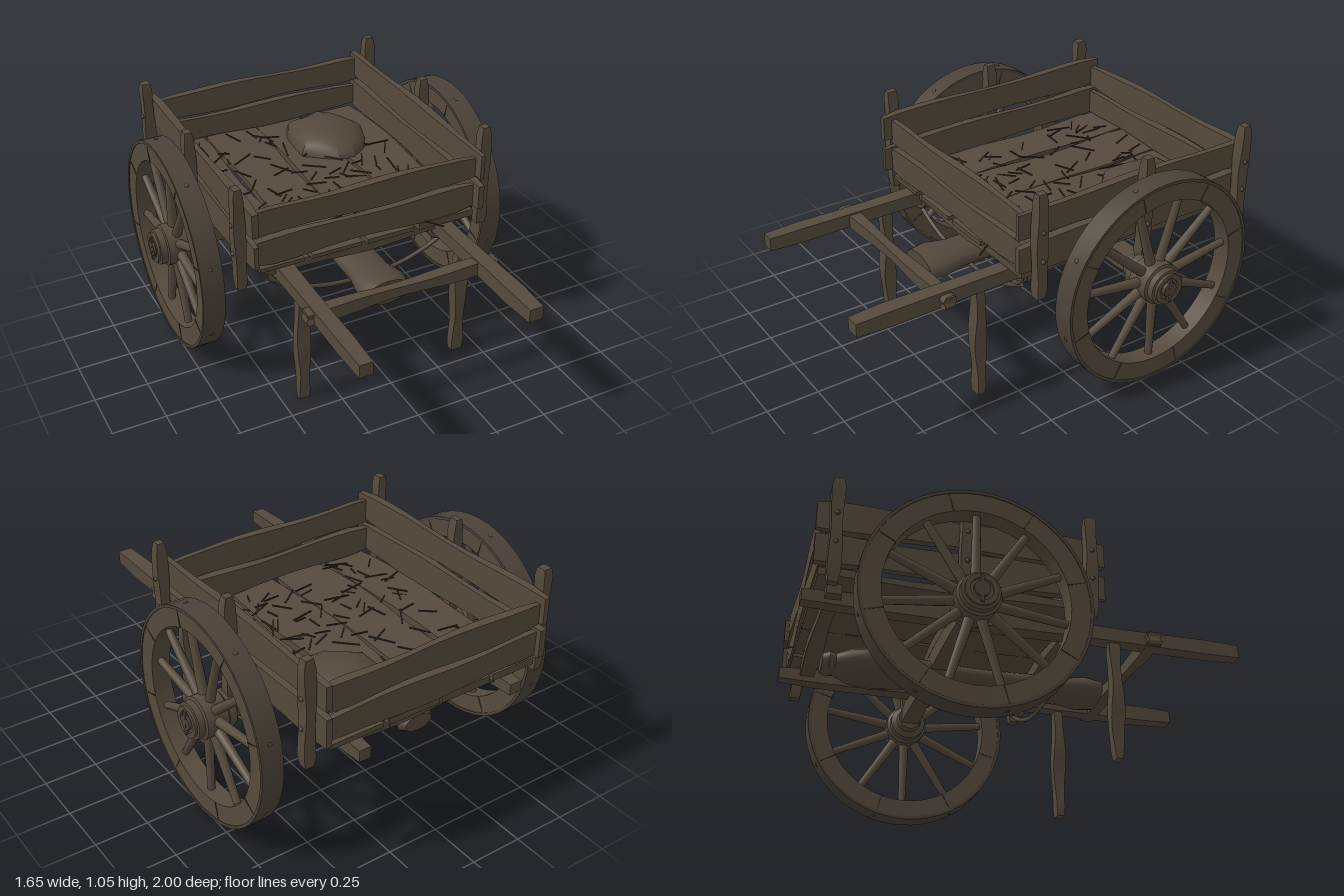
import * as THREE from 'three';
import { toCreasedNormals, mergeGeometries } from 'three/addons/utils/BufferGeometryUtils.js';

const mat = (name, color) => Object.assign(new THREE.MeshStandardMaterial({ color }), { name });

export function createModel() {
  const wood = mat('wood', 0x554a3c);
  const iron = mat('iron', 0x4b4238);
  const cloth = mat('cloth', 0x52473b);
  const straw = mat('straw', 0x3a3129);
  const cart = new THREE.Group();
  cart.name = 'handCart';

  let seed = 7;
  const rnd = () => (seed = (seed * 16807) % 2147483647) / 2147483647;
  const between = (a, b) => a + (b - a) * rnd();

  const add = (name, geo, material, x = 0, y = 0, z = 0, parent = cart) => {
    const m = new THREE.Mesh(geo, material);
    m.name = name;
    m.position.set(x, y, z);
    parent.add(m);
    return m;
  };

  // Hand-hewn timber: a box with softened ends and a slight waver along its length
  function timber(w, h, d, waver = 0.005) {
    const size = [w, h, d];
    const axis = size.indexOf(Math.max(...size));
    const geo = new THREE.BoxGeometry(w, h, d, ...size.map((s, i) => (i === axis ? 12 : 1)));
    const p = geo.attributes.position;
    const phase = between(0, 6);
    for (let i = 0; i < p.count; i++) {
      const v = [p.getX(i), p.getY(i), p.getZ(i)];
      const t = v[axis] / size[axis];
      for (let k = 0; k < 3; k++) {
        if (k === axis) continue;
        const side = Math.sign(v[k]);
        v[k] += Math.min(waver, size[k] * 0.12) * Math.sin(t * 9 + phase + side * 1.3 + k);
        if (Math.abs(t) > 0.49) v[k] -= side * Math.min(0.006, size[k] * 0.12);
      }
      p.setXYZ(i, ...v);
    }
    return toCreasedNormals(geo, 0.6);
  }

  // Shafts, legs and the rung between the handles
  for (const s of [-1, 1]) {
    add('shaft', timber(0.075, 0.07, 2, 0.003), wood, s * 0.4, 0.585, 0);
    add('leg', timber(0.055, 0.56, 0.052, 0.006), wood, s * 0.4, 0.28, 0.4);
    add('rungEnd', timber(0.03, 0.06, 0.06), wood, s * 0.45, 0.58, 0.575);
  }
  add('rung', timber(0.9, 0.055, 0.05), wood, 0, 0.58, 0.575);

  // Cross beams and floor planks
  for (const z of [0.2, -0.32, -0.87]) add('crossBeam', timber(0.96, 0.05, 0.07), wood, 0, 0.602, z);
  for (const [a, b] of [[-0.54, -0.31], [-0.29, -0.03], [-0.02, 0.24], [0.26, 0.54]])
    add('floorPlank', timber(b - a, 0.036, 1.22, 0.008), wood, (a + b) / 2, 0.643, -0.34);

  // End boards, side boards and the posts that hold them
  for (const [y, h] of [[0.73, 0.12], [0.875, 0.12]])
    for (const z of [0.25, -0.94]) add('endBoard', timber(1.1, h, 0.035, 0.006), wood, 0, y, z);
  for (const s of [-1, 1]) {
    for (const [y, h] of [[0.735, 0.135], [0.895, 0.13]])
      add('sideBoard', timber(0.034, h, 1.28, 0.006), wood, s * 0.558, y, -0.335);
    for (const z of [0.225, -0.335, -0.895]) {
      add('post', timber(0.05, 0.5, 0.053, 0.003), wood, s * 0.606, 0.805, z);
      for (const y of [0.74, 0.88])
        add('postBolt', new THREE.SphereGeometry(0.011, 8, 6), iron, s * 0.632, y, z);
    }
  }

  // Wheels are built around the y axis, then turned so the axis runs along x
  const lathe = (pts, n) =>
    toCreasedNormals(new THREE.LatheGeometry(pts.map(([r, y]) => new THREE.Vector2(r, y)), n), 0.6);

  function makeWheel() {
    const wheel = new THREE.Group();
    wheel.name = 'wheel';
    add('rim', lathe([[0.4, -0.045], [0.488, -0.048], [0.488, 0.048], [0.4, 0.045], [0.4, -0.045]], 48), wood, 0, 0, 0, wheel);
    add('tyre', lathe([[0.483, -0.052], [0.497, -0.052], [0.497, 0.052], [0.483, 0.052], [0.483, -0.052]], 48), iron, 0, 0, 0, wheel);
    add('hub', lathe([[0, -0.145], [0.055, -0.145], [0.06, -0.11], [0.085, -0.095], [0.085, -0.06], [0.098, -0.05],
      [0.098, 0.055], [0.085, 0.06], [0.085, 0.09], [0.072, 0.092], [0.072, 0.105], [0.05, 0.105], [0.05, 0.095], [0, 0.095]], 24),
      wood, 0, 0, 0, wheel);
    add('axleTip', new THREE.CylinderGeometry(0.035, 0.035, 0.04, 14), iron, 0, 0.092, 0, wheel);
    add('linchPin', new THREE.BoxGeometry(0.12, 0.014, 0.016), iron, 0, 0.106, 0, wheel);
    // Local +x becomes up once the wheel is turned
    for (let i = 0; i < 11; i++) {
      const arm = new THREE.Group();
      arm.rotation.y = (i / 11) * Math.PI * 2;
      arm.name = 'spokeArm';
      wheel.add(arm);
      const spoke = new THREE.CylinderGeometry(0.017, 0.024, 0.34, 10);
      spoke.rotateZ(-Math.PI / 2);
      add('spoke', spoke, wood, 0.245, 0, 0, arm);
    }
    for (let i = 0; i < 8; i++) {
      const joint = new THREE.Group();
      joint.rotation.y = ((i + 0.35) / 8) * Math.PI * 2;
      joint.name = 'rimJoint';
      wheel.add(joint);
      add('rimSeam', new THREE.BoxGeometry(0.082, 0.097, 0.005), straw, 0.443, 0, 0, joint);
      const nail = add('tyreNail', new THREE.SphereGeometry(0.01, 8, 6), iron, 0.497, 0, 0, joint);
      nail.scale.x = 0.4;
    }
    return wheel;
  }
  for (const s of [-1, 1]) {
    const wheel = makeWheel();
    wheel.rotation.z = (-s * Math.PI) / 2;
    if (s > 0) wheel.rotation.x = Math.PI;
    wheel.position.set(s * 0.712, 0.506, -0.32);
    if (s > 0) wheel.rotation.set(0, 0, -Math.PI / 2);
    cart.add(wheel);
  }
  add('axle', timber(1.2, 0.085, 0.085, 0.003), wood, 0, 0.518, -0.32);

  // Long tied sack slung under the bed
  const sackGeo = lathe([[0, -0.85], [0.07, -0.85], [0.09, -0.82], [0.08, -0.79], [0.125, -0.72], [0.145, -0.62], [0.125, -0.5],
    [0.1, -0.35], [0.09, -0.1], [0.1, 0.15], [0.1, 0.28], [0.122, 0.38], [0.108, 0.455], [0, 0.455]], 18);
  sackGeo.rotateX(Math.PI / 2);
  sackGeo.scale(1, 0.55, 1);
  add('slungSack', sackGeo, cloth, 0, 0.482, 0);

  // Sagging rope with loops around the shafts
  const ropePoints = [];
  for (let i = 0; i <= 12; i++) {
    const x = -0.46 + (i / 12) * 0.92;
    ropePoints.push(new THREE.Vector3(x, 0.4 + 0.13 * Math.pow(Math.abs(x) / 0.46, 2.4), 0.19));
  }
  add('rope', new THREE.TubeGeometry(new THREE.CatmullRomCurve3(ropePoints), 60, 0.011, 6), cloth);
  for (const s of [-1, 1])
    for (const dz of [-0.022, 0, 0.022])
      add('ropeLoop', new THREE.TorusGeometry(0.058, 0.011, 6, 16), cloth, s * 0.405, 0.58, 0.19 + dz);

  // Low heap of cloth in the back corner
  const heapGeo = new THREE.SphereGeometry(1, 14, 6, 0, Math.PI * 2, 0, Math.PI / 2);
  const hp = heapGeo.attributes.position;
  for (let i = 0; i < hp.count; i++) {
    const a = Math.atan2(hp.getZ(i), hp.getX(i));
    const k = 1 + 0.06 * Math.sin(a * 5 + 1) + 0.04 * Math.sin(a * 8);
    hp.setXYZ(i, hp.getX(i) * 0.195 * k, hp.getY(i) * 0.1, hp.getZ(i) * 0.235 * k);
  }
  add('clothHeap', toCreasedNormals(heapGeo, 0.5), cloth, 0.245, 0.658, -0.655);

  // Loose straw strewn over the floor
  const stalks = [];
  for (let i = 0; i < 120; i++) {
    const g = new THREE.BoxGeometry(0.006, 0.005, between(0.05, 0.13));
    g.rotateX(between(-0.06, 0.06));
    g.rotateY(between(0, Math.PI));
    g.translate(between(-0.48, 0.48), between(0.664, 0.674), between(-0.86, 0.2));
    stalks.push(g);
  }
  for (const [x, z, turn] of [[0.3, 0.29, 0.6], [0.24, -0.94, -0.6]]) {
    const g = new THREE.BoxGeometry(0.006, 0.005, 0.14);
    g.rotateY(turn);
    g.translate(x, 0.668, z);
    stalks.push(g);
  }
  add('looseStraw', mergeGeometries(stalks), straw);

  return cart;
}
